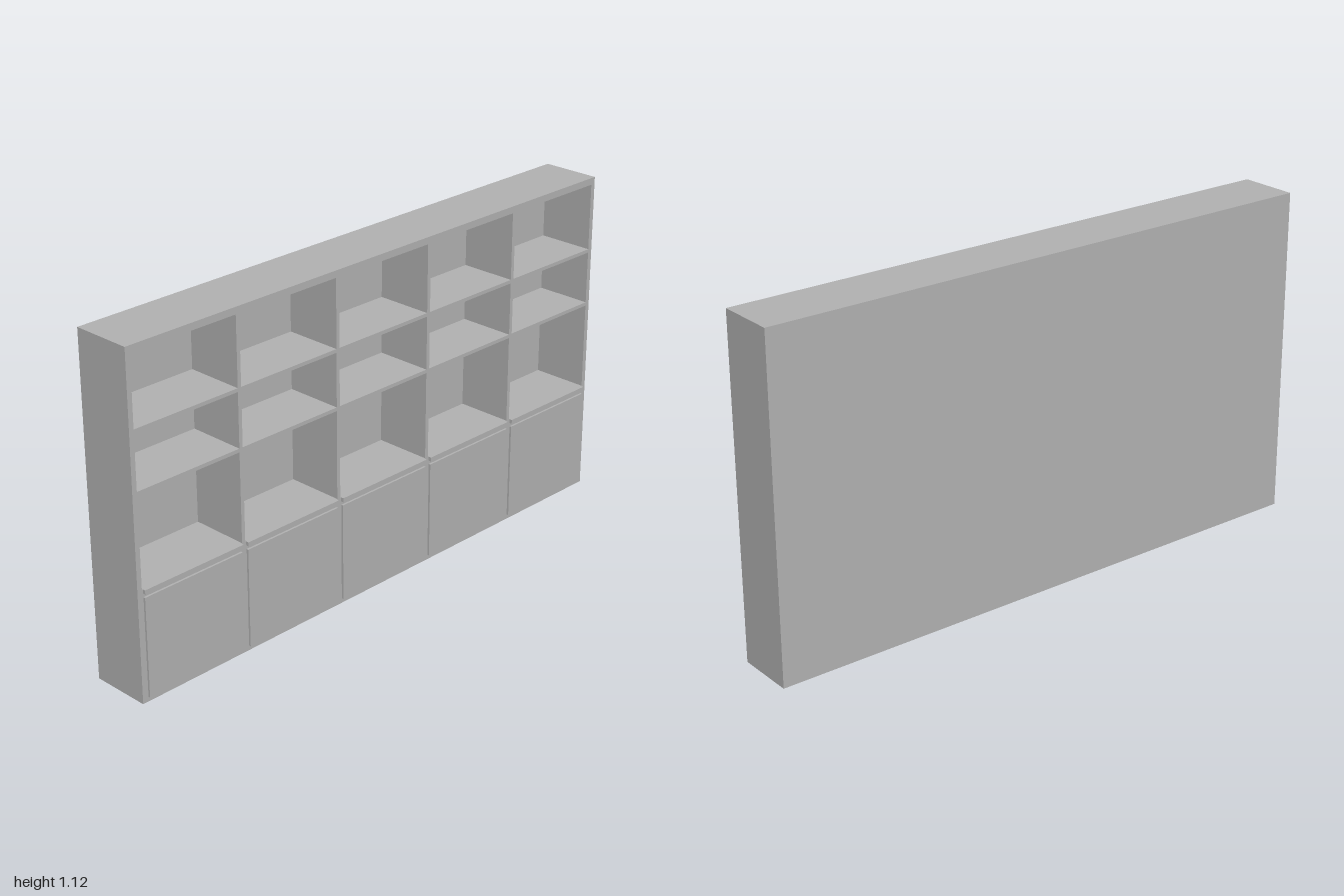
import * as THREE from 'three';

export function createModel() {
  const group = new THREE.Group();
  const grey = new THREE.MeshStandardMaterial({ color: 0xb2b2b2 });
  grey.name = 'plain grey';

  const front = 0.095, back = -0.105, backPanel = 0.006;
  const height = 1.118, cellWidth = 0.383, pitch = 0.396;
  const rows = [[0.372, 0.668], [0.68, 0.858], [0.87, 1.095]];
  const columns = [-2, -1, 0, 1, 2].map((i) => i * pitch);

  // Box given by its limits on each axis
  function box(name, x0, x1, y0, y1, z0, z1) {
    const mesh = new THREE.Mesh(new THREE.BoxGeometry(x1 - x0, y1 - y0, z1 - z0), grey);
    mesh.position.set((x0 + x1) / 2, (y0 + y1) / 2, (z0 + z1) / 2);
    mesh.name = name;
    group.add(mesh);
  }

  function rectangle(target, x0, x1, y0, y1) {
    target.moveTo(x0, y0);
    target.lineTo(x1, y0);
    target.lineTo(x1, y1);
    target.lineTo(x0, y1);
    target.closePath();
    return target;
  }

  // Carcass: one slab pierced by the grid of open compartments
  const outline = rectangle(new THREE.Shape(), -1, 1, 0, height);
  for (const x of columns) {
    for (const [y0, y1] of rows) {
      outline.holes.push(rectangle(new THREE.Path(), x - cellWidth / 2, x + cellWidth / 2, y0, y1));
    }
  }
  const carcass = new THREE.Mesh(
    new THREE.ExtrudeGeometry(outline, { depth: front - back - backPanel, bevelEnabled: false }),
    grey
  );
  carcass.position.z = back + backPanel;
  carcass.name = 'shelfCarcass';
  group.add(carcass);

  // Thin panel closing the back
  box('backPanel', -1, 1, 0, height, back, back + backPanel);

  // Cupboard doors and the projecting shelf lip above each one
  for (const x of columns) {
    box('cupboardDoor', x - 0.187, x + 0.187, 0.016, 0.346, front, 0.102);
    box('shelfLip', x - 0.188, x + 0.188, 0.358, 0.372, front, 0.105);
  }
  return group;
}
